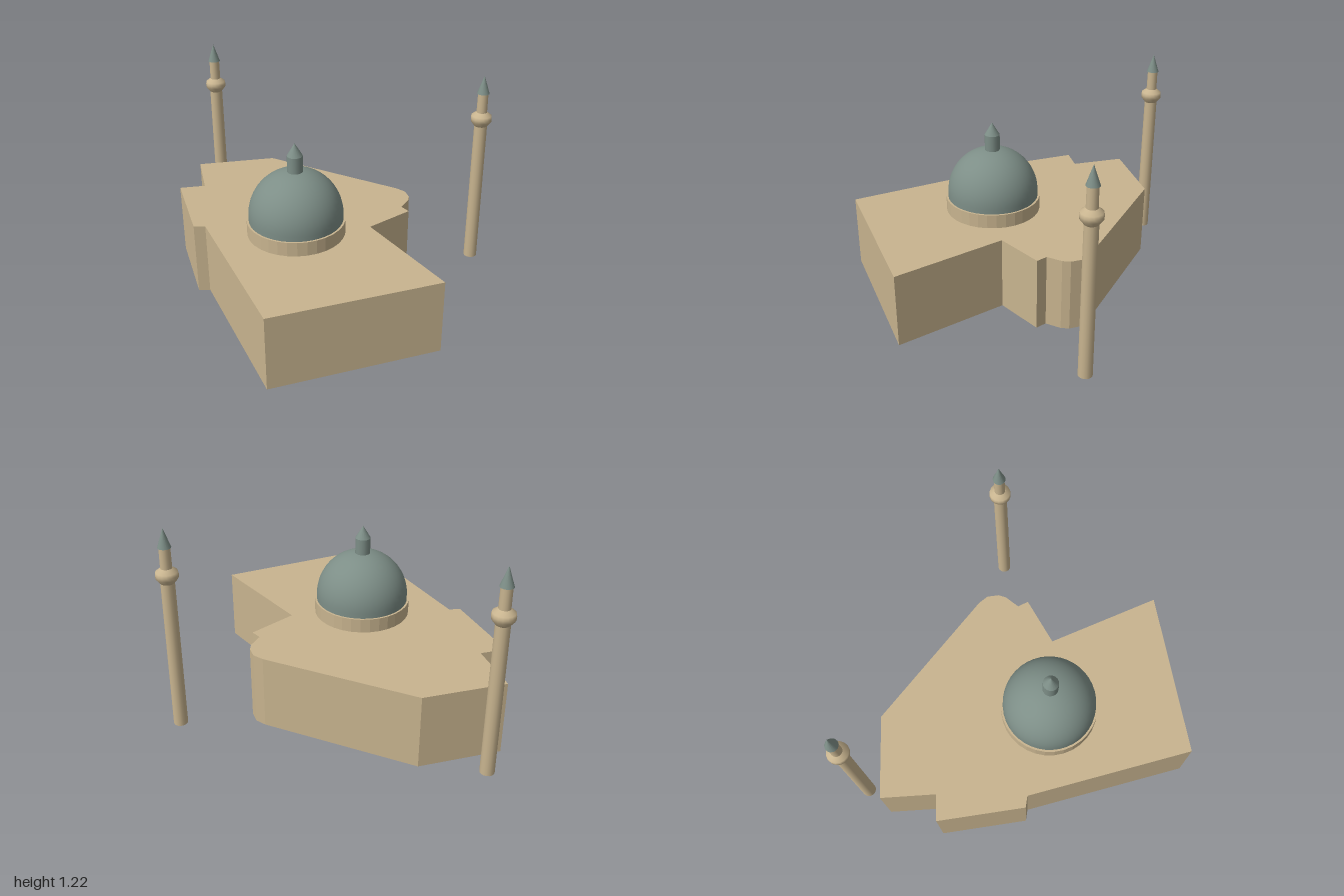
import * as THREE from 'three';

const stone = new THREE.MeshStandardMaterial({ color: 0xc8b48f, side: THREE.DoubleSide });
stone.name = 'sandstone';
const lead = new THREE.MeshStandardMaterial({ color: 0x7d8e87, side: THREE.DoubleSide });
lead.name = 'grey green lead';

const ROOF_Y = 0.445;

// Plan outline as (x, z), running clockwise seen from above
const OUTLINE = [
  [-0.86, -0.78], [-0.378, -0.847], [0.41, -0.354], [0.458, -0.307], [0.474, -0.238],
  [0.463, -0.19], [0.41, -0.11], [0.447, -0.053], [0.198, 0.122], [0.537, 0.727],
  [-0.41, 0.995], [-0.765, 0.063], [-0.833, 0.06], [-0.96, -0.44], [-0.807, -0.46],
];

function addMesh(parent, name, geometry, material, x = 0, y = 0, z = 0) {
  const mesh = new THREE.Mesh(geometry, material);
  mesh.name = name;
  mesh.position.set(x, y, z);
  parent.add(mesh);
  return mesh;
}

// Unshared corners per triangle give crisp facets
function faceted(geometry) {
  const flat = geometry.toNonIndexed();
  flat.computeVertexNormals();
  return flat;
}

// One flat quad per side of the plan, open underneath
function wallGeometry() {
  const positions = [];
  OUTLINE.forEach(([ax, az], i) => {
    const [bx, bz] = OUTLINE[(i + 1) % OUTLINE.length];
    positions.push(bx, 0, bz, ax, 0, az, ax, ROOF_Y, az);
    positions.push(bx, 0, bz, ax, ROOF_Y, az, bx, ROOF_Y, bz);
  });
  const geometry = new THREE.BufferGeometry();
  geometry.setAttribute('position', new THREE.Float32BufferAttribute(positions, 3));
  geometry.computeVertexNormals();
  return geometry;
}

function createHall() {
  const hall = new THREE.Group();
  hall.name = 'prayerHall';
  addMesh(hall, 'walls', wallGeometry(), stone);
  const plan = new THREE.Shape(OUTLINE.map(([x, z]) => new THREE.Vector2(x, -z)));
  addMesh(hall, 'flatRoof', new THREE.ShapeGeometry(plan).rotateX(-Math.PI / 2), stone, 0, ROOF_Y);
  return hall;
}

function createDome() {
  const dome = new THREE.Group();
  dome.name = 'domeAssembly';
  dome.position.set(-0.233, 0, 0.14);
  // Drum sinks slightly through the roof
  addMesh(dome, 'drum', faceted(new THREE.CylinderGeometry(0.285, 0.285, 0.095, 32)), stone, 0, 0.4825);
  // Hemisphere on a short upright collar
  const profile = [new THREE.Vector2(0.273, 0.525)];
  for (let i = 0; i <= 16; i++) {
    const a = (i / 16) * Math.PI / 2;
    profile.push(new THREE.Vector2(0.273 * Math.cos(a), 0.56 + 0.273 * Math.sin(a)));
  }
  addMesh(dome, 'domeShell', new THREE.LatheGeometry(profile, 40), lead);
  addMesh(dome, 'finialPost', new THREE.CylinderGeometry(0.045, 0.045, 0.11, 16), lead, 0, 0.87);
  addMesh(dome, 'finialTip', new THREE.ConeGeometry(0.045, 0.075, 16), lead, 0, 0.9625);
  return dome;
}

function createMinaret(name, x, z) {
  const minaret = new THREE.Group();
  minaret.name = name;
  minaret.position.set(x, 0, z);
  addMesh(minaret, 'shaft', new THREE.CylinderGeometry(0.039, 0.041, 0.91, 16), stone, 0, 0.455);
  // Bulging gallery ring
  const ring = [[0.039, 0.908], [0.062, 0.938], [0.063, 0.957], [0.06, 0.974], [0.032, 0.995]];
  addMesh(minaret, 'gallery',
    new THREE.LatheGeometry(ring.map(([r, y]) => new THREE.Vector2(r, y)), 16), stone);
  addMesh(minaret, 'upperShaft', new THREE.CylinderGeometry(0.031, 0.032, 0.13, 16), stone, 0, 1.05);
  addMesh(minaret, 'spire', new THREE.ConeGeometry(0.037, 0.11, 16), lead, 0, 1.168);
  return minaret;
}

export function createModel() {
  const model = new THREE.Group();
  model.name = 'domedHall';
  model.add(
    createHall(),
    createDome(),
    createMinaret('backMinaret', -0.735, -0.938),
    createMinaret('leftMinaret', 0.893, -0.26),
  );
  return model;
}
